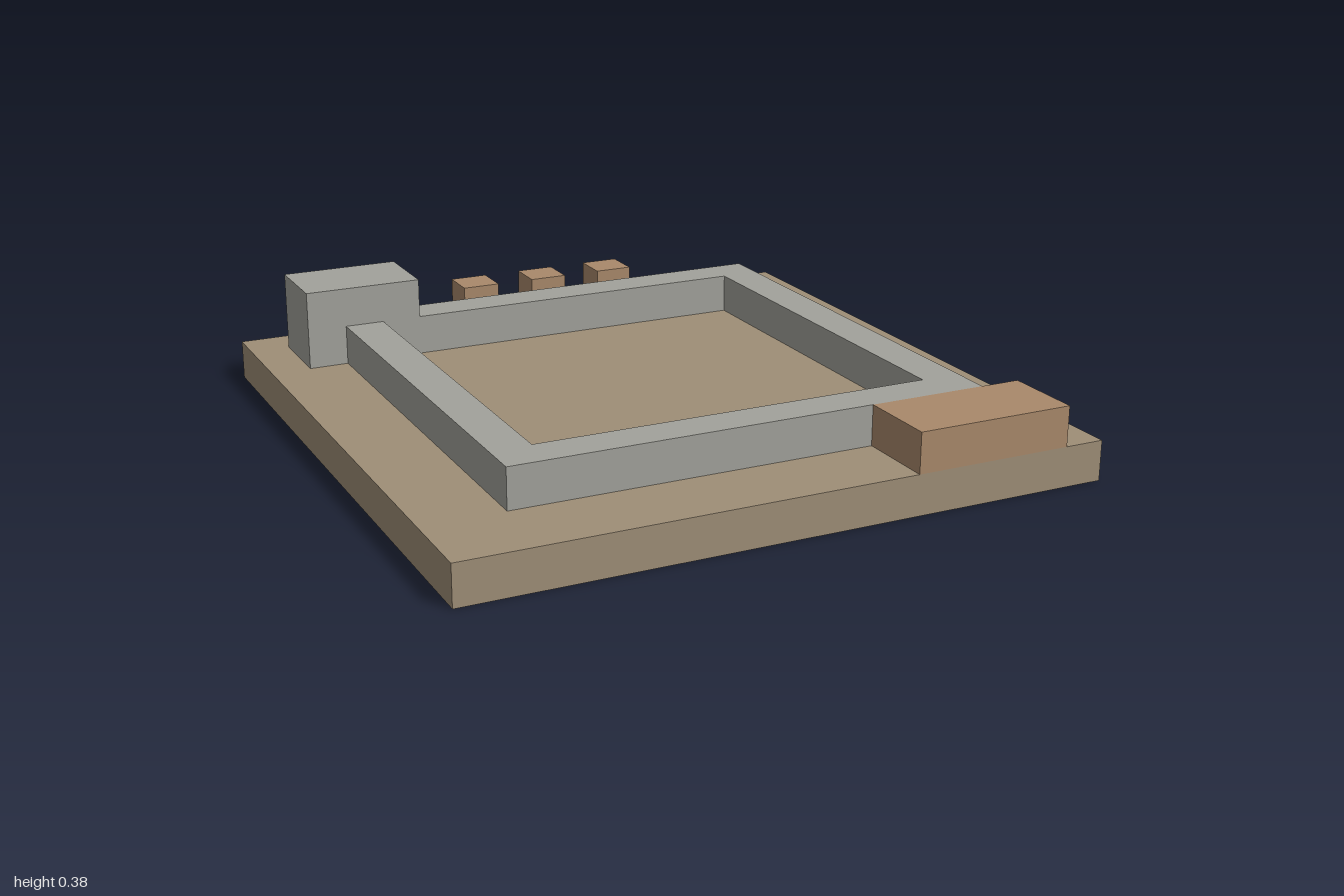
import * as THREE from 'three';

const N = 16;          // cells per side
const U = 2 / N;       // cell size

// Footprints in cells: x0, x1, z0, z1, and top height in cells. Later parts override earlier ones.
const STONE = 0xa2a29b, WOOD = 0xa9896b, EARTH = 0x9e8e77;
const parts = [
  { name: 'ground', color: EARTH, rect: [0, 16, 0, 16], top: 1 },
  { name: 'backWall', color: STONE, rect: [2, 14, 2, 3], top: 2 },
  { name: 'frontWall', color: STONE, rect: [2, 14, 13, 14], top: 2 },
  { name: 'rightWall', color: STONE, rect: [2, 3, 3, 13], top: 2 },
  { name: 'leftWall', color: STONE, rect: [13, 14, 3, 13], top: 2 },
  { name: 'cornerTower', color: STONE, rect: [1, 4, 1, 3], top: 3 },
  { name: 'woodenPlatform', color: WOOD, rect: [11, 15, 14, 16], top: 2 },
  ...[6, 8, 10].map((x, i) => ({ name: `crate${i + 1}`, color: WOOD, rect: [x, x + 1, 0, 1], top: 2 })),
];

// The part that covers a cell, or null outside the ground
function partAt(i, k) {
  return parts.findLast(({ rect: [x0, x1, z0, z1] }) => i >= x0 && i < x1 && k >= z0 && k < z1) ?? null;
}

// Corners run anticlockwise as seen from outside
function addQuad(list, a, b, c, d) {
  for (const [x, y, z] of [a, b, c, a, c, d]) list.push(x * U - 1, y * U, z * U - 1);
}

export function createModel() {
  const group = new THREE.Group();
  const ground = parts[0];
  const faces = new Map(parts.map((p) => [p, []]));

  // One hollow shell, open underneath: cell tops plus the steps between neighbours
  for (let i = 0; i < N; i++) {
    for (let k = 0; k < N; k++) {
      const part = partAt(i, k), h = part.top;
      addQuad(faces.get(part), [i, h, k], [i, h, k + 1], [i + 1, h, k + 1], [i + 1, h, k]);

      for (const [dx, dz] of [[1, 0], [-1, 0], [0, 1], [0, -1]]) {
        const low = partAt(i + dx, k + dz)?.top ?? 0;
        // Edge centre, with its left and right ends as seen from outside
        const cx = i + 0.5 + dx / 2, cz = k + 0.5 + dz / 2;
        const left = [cx - dz / 2, cz + dx / 2], right = [cx + dz / 2, cz - dx / 2];
        for (let y = low; y < h; y++) {
          addQuad(faces.get(y < ground.top ? ground : part),
            [left[0], y, left[1]], [right[0], y, right[1]],
            [right[0], y + 1, right[1]], [left[0], y + 1, left[1]]);
        }
      }
    }
  }

  for (const [part, positions] of faces) {
    const geometry = new THREE.BufferGeometry();
    geometry.setAttribute('position', new THREE.Float32BufferAttribute(positions, 3));
    geometry.computeVertexNormals();
    const material = new THREE.MeshStandardMaterial({ color: part.color, side: THREE.DoubleSide });
    const mesh = new THREE.Mesh(geometry, material);
    mesh.name = part.name;
    group.add(mesh);
  }
  return group;
}
